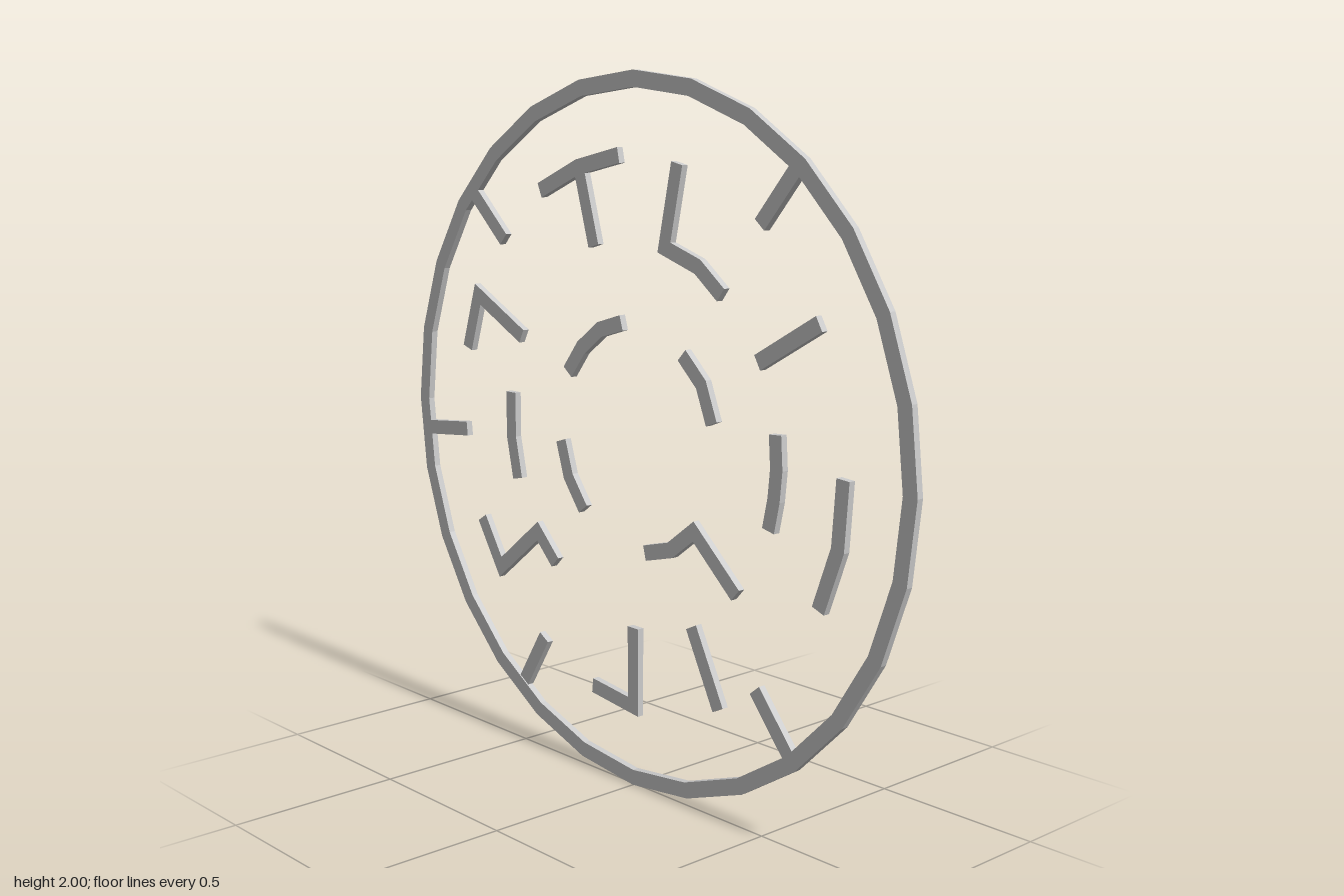
import * as THREE from 'three';

const DEPTH = 0.02;   // thickness along z
const HALF = 0.0215;  // half the width of a wall
const material = new THREE.MeshStandardMaterial({ color: 0xcccccc, flatShading: true });

function addPlate(group, name, shape) {
  const geometry = new THREE.ExtrudeGeometry(shape, { depth: DEPTH, bevelEnabled: false });
  geometry.translate(0, 0, -DEPTH / 2);
  const mesh = new THREE.Mesh(geometry, material);
  mesh.name = name;
  group.add(mesh);
}

// Outline of a centre line widened to both sides, with mitred corners
function strokeShape(line) {
  const pts = line.map(([x, y]) => new THREE.Vector2(x, y));
  const normals = pts.slice(1).map((p, i) => {
    const d = p.clone().sub(pts[i]).normalize();
    return new THREE.Vector2(-d.y, d.x);
  });
  const left = [], right = [];
  pts.forEach((p, i) => {
    const a = normals[Math.max(i - 1, 0)];
    const b = normals[Math.min(i, normals.length - 1)];
    const miter = a.clone().add(b).multiplyScalar(HALF / (1 + a.dot(b)));
    left.push(p.clone().add(miter));
    right.unshift(p.clone().sub(miter));
  });
  return new THREE.Shape([...right, ...left]);
}

// Regular polygon with its first corner at the top
function polygon(radius, sides) {
  return Array.from({ length: sides }, (_, i) => {
    const a = (i / sides) * Math.PI * 2;
    return new THREE.Vector2(-Math.sin(a) * radius, 1 + Math.cos(a) * radius);
  });
}

// Centre lines of the walls, x and y
const walls = {
  spokeUpperLeft: [[0.473, 1.615], [0.604, 1.77]],
  spokeUpperRight: [[-0.567, 1.519], [-0.717, 1.658]],
  spokeRight: [[-0.759, 0.93], [-0.96, 0.909]],
  spokeLowerRight: [[-0.396, 0.348], [-0.492, 0.193]],
  spokeLowerLeft: [[0.476, 0.401], [0.604, 0.246]],
  teeBar: [[-0.396, 1.668], [-0.23, 1.738], [-0.059, 1.775]],
  teeStem: [[-0.225, 1.738], [-0.163, 1.524]],
  upperHook: [[0.171, 1.759], [0.123, 1.537], [0.251, 1.495], [0.337, 1.428]],
  upperBar: [[0.471, 1.267], [0.679, 1.385]],
  lowerBar: [[0.235, 0.519], [0.34, 0.31]],
  middleArcLeft: [[0.537, 1.09], [0.543, 1.0], [0.535, 0.92], [0.517, 0.837]],
  middleArcRight: [[-0.54, 1.07], [-0.54, 0.936], [-0.513, 0.813]],
  outerArc: [[0.767, 1.01], [0.754, 0.83], [0.693, 0.663]],
  sideChevron: [[-0.749, 1.182], [-0.695, 1.348], [-0.487, 1.241]],
  zigzag: [[-0.69, 0.663], [-0.602, 0.524], [-0.422, 0.668], [-0.342, 0.588]],
  innerArcUpperRight: [[-0.278, 1.16], [-0.219, 1.235], [-0.139, 1.294], [-0.048, 1.321]],
  innerArcUpperLeft: [[0.193, 1.257], [0.267, 1.187], [0.307, 1.086]],
  innerArcLowerRight: [[-0.31, 0.957], [-0.278, 0.856], [-0.214, 0.77]],
  innerChevron: [[0.048, 0.69], [0.15, 0.717], [0.241, 0.786], [0.401, 0.642]],
  lowerHook: [[-0.174, 0.254], [0, 0.233], [0, 0.465]],
};

export function createModel() {
  const group = new THREE.Group();
  group.name = 'roundMaze';

  // Outer rim
  const rim = new THREE.Shape(polygon(1, 28));
  rim.holes.push(new THREE.Path(polygon(0.955, 28)));
  addPlate(group, 'outerRim', rim);

  // Inner walls
  for (const [name, line] of Object.entries(walls)) addPlate(group, name, strokeShape(line));
  return group;
}
